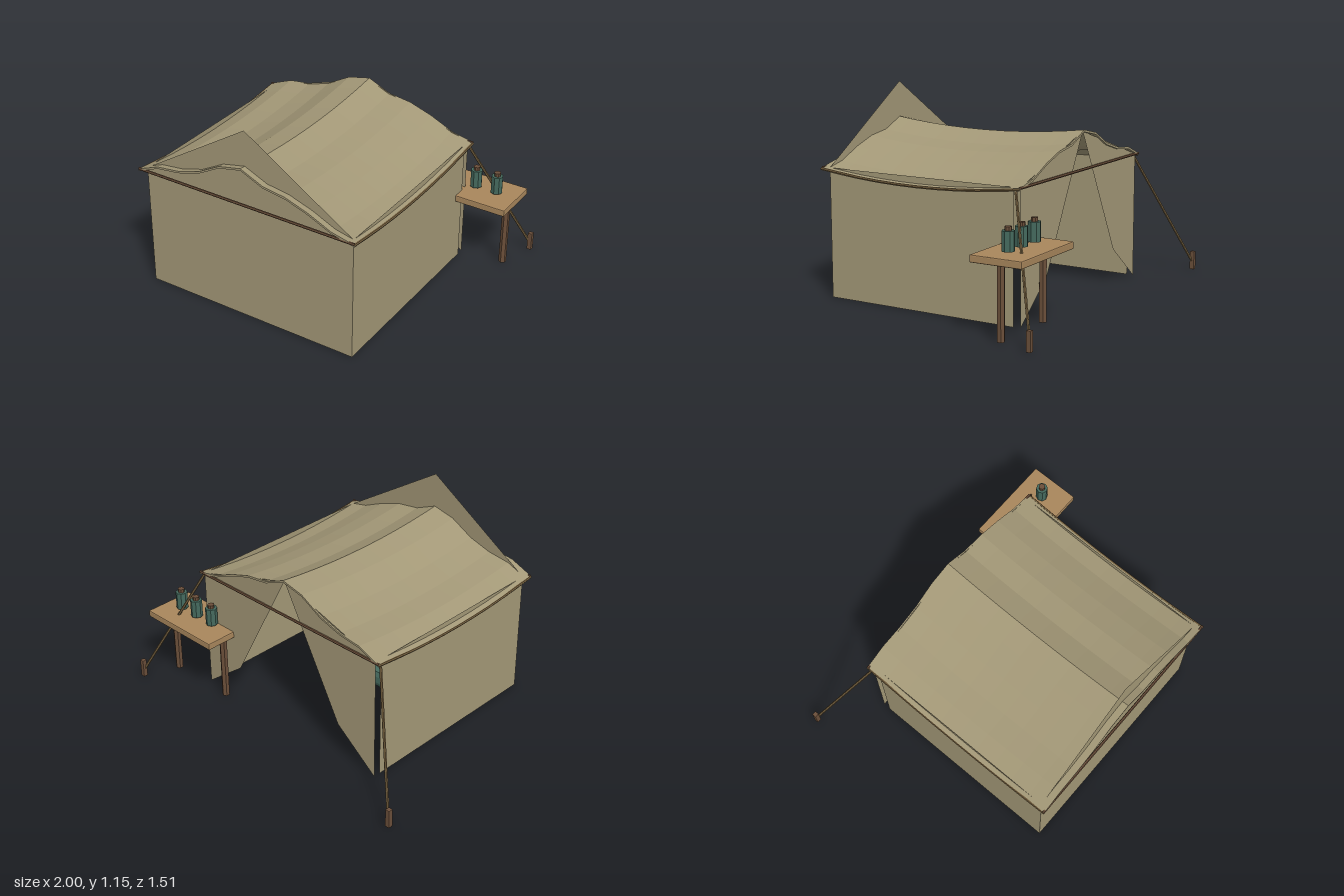
import * as THREE from 'three';
import { RoundedBoxGeometry } from 'three/addons/geometries/RoundedBoxGeometry.js';

const material = (name, color, side = THREE.FrontSide) => {
  const m = new THREE.MeshStandardMaterial({ color, side, flatShading: true });
  m.name = name;
  return m;
};

export function createModel() {
  const canvas = material('canvas', 0xa39877, THREE.DoubleSide);
  const darkWood = material('darkWood', 0x6b4f3a);
  const tableWood = material('tableWood', 0xa8865c);
  const rope = material('rope', 0x75603f);
  const green = material('green', 0x456a5e);

  const tent = new THREE.Group();
  tent.name = 'campTent';

  const add = (name, geometry, mat, x = 0, y = 0, z = 0) => {
    const mesh = new THREE.Mesh(geometry, mat);
    mesh.name = name;
    mesh.position.set(x, y, z);
    tent.add(mesh);
    return mesh;
  };
  // Straight or bent rod through a list of points
  const rod = (name, points, radius, mat, segments = 1) => {
    const path = new THREE.CatmullRomCurve3(points.map((p) => new THREE.Vector3(...p)));
    return add(name, new THREE.TubeGeometry(path, segments, radius, 6), mat);
  };
  const sheet = (points) =>
    new THREE.ShapeGeometry(new THREE.Shape(points.map((p) => new THREE.Vector2(...p))));

  // Sagging, rippled roof cloth
  const profile = [0.73, 0.785, 0.802, 0.843, 0.918, 0.948, 0.888, 0.868, 0.822, 0.76, 0.73];
  const sag = (z) => 0.043 * (1 - ((z - 0.12) / 0.63) ** 2);
  const roof = new THREE.BoxGeometry(1.38, 0.012, 1.26, 10, 1, 10).translate(0, -0.006, 0.12);
  const pos = roof.attributes.position;
  for (let i = 0; i < pos.count; i++) {
    const column = Math.round((pos.getX(i) + 0.69) / 0.138);
    pos.setY(i, pos.getY(i) + profile[column] - sag(pos.getZ(i)));
  }
  roof.computeVertexNormals();
  add('roof', roof, canvas);

  // Front wall with its tall gable
  add('frontWall', sheet([[-0.66, 0], [0.66, 0], [0.66, 0.73], [0, 1.15], [-0.66, 0.73]]),
    canvas, 0, 0, 0.71);

  // Cross bars at the front and back eaves
  for (const [name, z] of [['frontBar', 0.745], ['backBar', -0.505]]) {
    rod(name, [[-0.69, 0.73, z], [0.69, 0.73, z]], 0.008, darkWood);
  }

  for (const [label, s] of [['left', 1], ['right', -1]]) {
    // Side wall
    const wall = add(label + 'Wall', new THREE.PlaneGeometry(1.17, 0.73), canvas,
      s * 0.66, 0.365, 0.125);
    wall.rotation.y = s * Math.PI / 2;

    // Tied-back door flap
    const flap = [[0.66, 0], [0.66, 0.73], [0, 0.94], [0.39, 0.21]];
    add(label + 'DoorFlap', sheet(flap.map(([x, y]) => [s * x, y])), canvas, 0, 0, -0.5);

    // Sagging eave cord
    const cord = [0.75, 0.44, 0.12, -0.2, -0.51].map((z) => [s * 0.685, 0.725 - sag(z), z]);
    rod(label + 'EaveCord', cord, 0.008, rope, 10);

    // Guy rope and its stake
    rod(label + 'GuyRope', [[s * 0.675, 0.72, -0.48], [s * 0.98, 0.05, -0.74]], 0.008, rope);
    add(label + 'Stake', new RoundedBoxGeometry(0.028, 0.11, 0.028, 1, 0.004), darkWood,
      s * 0.986, 0.055, -0.742);
  }

  // Bedroll and pillow
  add('bedroll', new RoundedBoxGeometry(0.8, 0.12, 0.32, 1, 0.04), green, 0, 0.11, 0.22);
  add('pillow', new RoundedBoxGeometry(0.2, 0.05, 0.25, 1, 0.02), canvas, -0.27, 0.19, 0.22);

  // Side table
  add('tableTop', new RoundedBoxGeometry(0.53, 0.04, 0.3, 1, 0.006), tableWood,
    0.7, 0.415, -0.535);
  for (const x of [0.49, 0.91]) {
    add('tableLeg', new THREE.CylinderGeometry(0.022, 0.022, 0.4, 6), darkWood, x, 0.2, -0.535);
  }

  // Bottles with caps
  for (const x of [0.58, 0.71, 0.84]) {
    add('bottle', new THREE.CylinderGeometry(0.034, 0.034, 0.105, 8), green, x, 0.4975, -0.535);
    add('bottleCap', new THREE.CylinderGeometry(0.019, 0.019, 0.022, 8), darkWood,
      x, 0.56, -0.535);
  }
  return tent;
}
